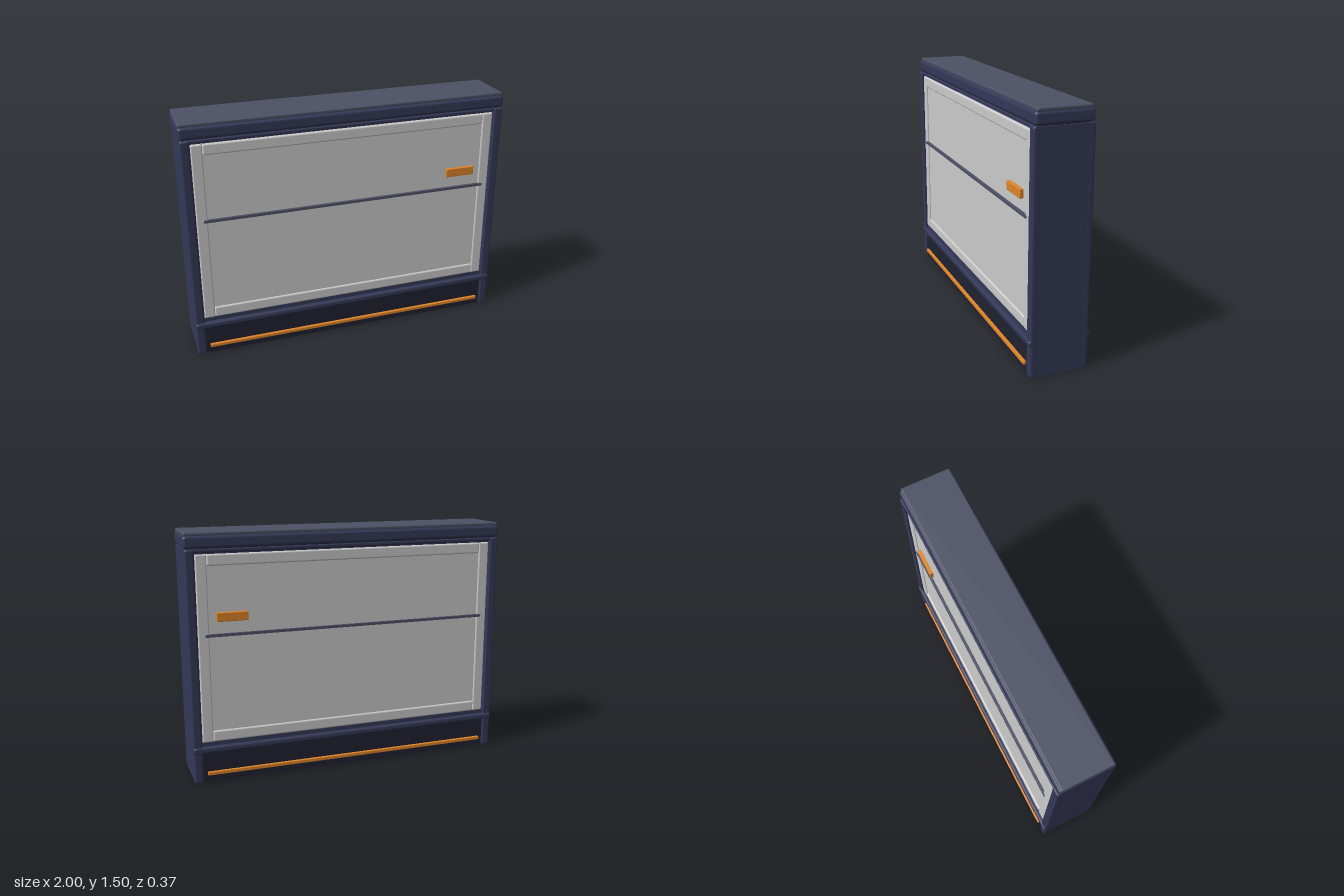
import * as THREE from 'three';
import { RoundedBoxGeometry } from 'three/addons/geometries/RoundedBoxGeometry.js';

const mat = (color) => new THREE.MeshStandardMaterial({ color });
const navy = mat(0x353857);
const dark = mat(0x1f2130);
const slate = mat(0x4d5165);
const grey = mat(0xcccccc);
const orange = mat(0xe08428);

export function createModel() {
  const group = new THREE.Group();

  // Box given by its min/max extents; r > 0 rounds the edges
  function box(name, material, [x0, x1], [y0, y1], [z0, z1], r = 0) {
    const w = x1 - x0, h = y1 - y0, d = z1 - z0;
    const geometry = r > 0 ? new RoundedBoxGeometry(w, h, d, 3, r) : new THREE.BoxGeometry(w, h, d);
    const mesh = new THREE.Mesh(geometry, material);
    mesh.name = name;
    mesh.position.set((x0 + x1) / 2, (y0 + y1) / 2, (z0 + z1) / 2);
    group.add(mesh);
  }

  // Body core and plinth
  box('core', navy, [-0.96, 0.96], [0.19, 1.4], [-0.145, 0.145]);
  box('plinth', dark, [-0.96, 0.96], [0.003, 0.2], [-0.165, 0.165]);

  // Side walls with rounded corner posts
  for (const s of [-1, 1]) {
    const span = (a, b) => (s > 0 ? [a, b] : [-b, -a]);
    box('sideWall', navy, span(0.945, 0.994), [0.003, 1.4], [-0.165, 0.165]);
    for (const f of [-1, 1]) {
      box('cornerPost', navy, span(0.94, 0.995), [0, 1.403], f > 0 ? [0.135, 0.176] : [-0.176, -0.135], 0.012);
    }
  }

  // Top cap and lid
  box('topCap', navy, [-1, 1], [1.405, 1.478], [-0.17, 0.17], 0.018);
  box('capNeck', dark, [-0.98, 0.98], [1.38, 1.41], [-0.155, 0.155]);
  box('lid', slate, [-0.995, 0.995], [1.474, 1.497], [-0.157, 0.157], 0.008);

  // Matching front and back faces
  for (const f of [-1, 1]) {
    const depth = (a, b) => (f > 0 ? [a, b] : [-b, -a]);
    box('header', navy, [-0.95, 0.95], [1.385, 1.403], depth(0.13, 0.172), 0.005);
    box('bottomRail', navy, [-0.95, 0.95], [0.21, 0.25], depth(0.13, 0.158));
    box('panel', grey, [-0.935, 0.935], [0.25, 1.372], depth(0.13, 0.153));
    for (const s of [-1, 1]) {
      box('panelStile', grey, s > 0 ? [0.87, 0.935] : [-0.935, -0.87], [0.25, 1.372], depth(0.135, 0.163), 0.008);
    }
    for (const y of [0.25, 1.305]) {
      box('panelRail', grey, [-0.87, 0.87], [y, y + 0.067], depth(0.135, 0.163), 0.01);
    }
    box('divider', slate, [-0.893, 0.893], [0.892, 0.908], depth(0.14, 0.17));
    box('handlePlate', orange, [0.64, 0.825], [0.98, 1.034], depth(0.145, 0.173), 0.004);
    box('belt', navy, [-0.995, 0.995], [0.188, 0.226], depth(0.15, 0.185), 0.013);
    box('plinthStripe', orange, [-0.915, 0.915], [0.045, 0.067], depth(0.155, 0.181), 0.004);
  }

  return group;
}
